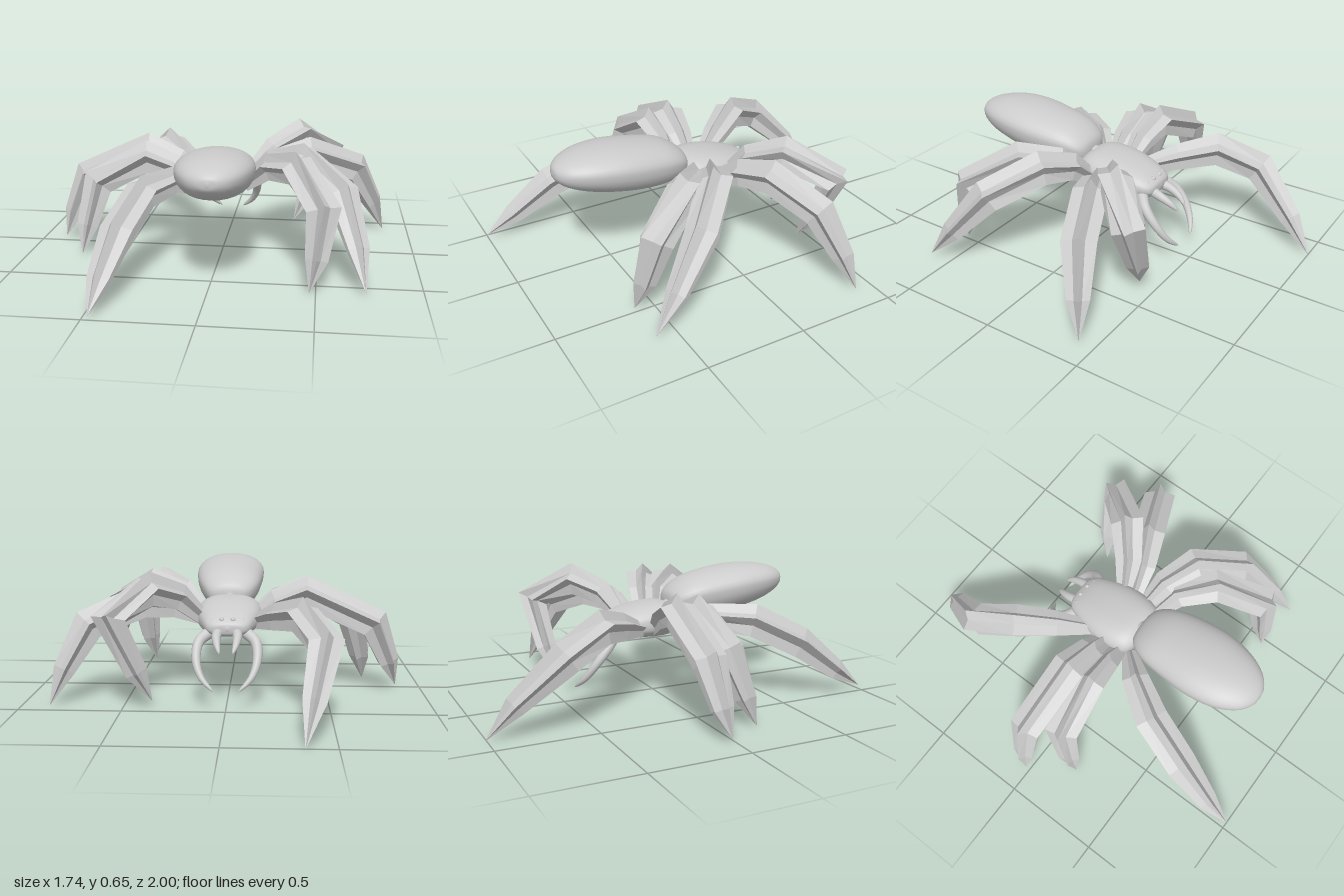
import * as THREE from 'three';

const smooth = new THREE.MeshStandardMaterial({ color: 0xcccccc });
const faceted = new THREE.MeshStandardMaterial({ color: 0xcccccc, flatShading: true, side: THREE.DoubleSide });

// Join closed rings of points into one surface
function skin(rings) {
  const n = rings[0].length;
  const pos = rings.flat().flatMap((p) => [p.x, p.y, p.z]);
  const index = [];
  for (let i = 0; i < rings.length - 1; i++) {
    for (let j = 0; j < n; j++) {
      const a = i * n + j, b = i * n + ((j + 1) % n);
      index.push(a, b, b + n, a, b + n, a + n);
    }
  }
  const geo = new THREE.BufferGeometry();
  geo.setAttribute('position', new THREE.Float32BufferAttribute(pos, 3));
  geo.setIndex(index);
  geo.computeVertexNormals();
  return geo;
}

// Rounded body along z from stations [z, x, top, bottom, halfWidth, height of widest line];
// an exponent below 1 makes the cross-section boxier
function bodyGeometry(stations, exponent, steps = 36, sides = 32) {
  const curve = (f) => new THREE.CatmullRomCurve3(stations.map(f), false, 'catmullrom', 0.5);
  const place = curve(([z, x, , , w]) => new THREE.Vector3(x, w, z));
  const heights = curve(([, , top, bottom, , mid]) => new THREE.Vector3(top, bottom, mid));
  const bend = (v) => Math.sign(v) * Math.abs(v) ** exponent;
  const rings = [];
  for (let i = 0; i <= steps; i++) {
    const p = place.getPoint(i / steps), h = heights.getPoint(i / steps);
    const ring = [];
    for (let j = 0; j < sides; j++) {
      const a = (j / sides) * Math.PI * 2, s = bend(Math.sin(a));
      const y = h.z + s * (s > 0 ? h.x - h.z : h.z - h.y);
      ring.push(new THREE.Vector3(p.x + bend(Math.cos(a)) * Math.max(p.y, 0.0005), y, p.z));
    }
    rings.push(ring);
  }
  return skin(rings);
}

// Sweep a round or star-shaped section along points [x, y, z, radius]
function limbGeometry(path, sides, inner = 1) {
  const pts = path.map(([x, y, z]) => new THREE.Vector3(x, y, z));
  const up = new THREE.Vector3(0, 1, 0);
  const last = pts.length - 1;
  return skin(pts.map((p, i) => {
    const before = p.clone().sub(pts[Math.max(i - 1, 0)]).normalize();
    const after = pts[Math.min(i + 1, last)].clone().sub(p).normalize();
    const t = before.add(after).normalize();
    up.addScaledVector(t, -up.dot(t)).normalize();
    const side = new THREE.Vector3().crossVectors(up, t);
    return Array.from({ length: sides }, (_, j) => {
      const a = (j / sides) * Math.PI * 2 + Math.PI / 2;
      const r = path[i][3] * (j % 2 ? inner : 1);
      return p.clone().addScaledVector(side, Math.cos(a) * r).addScaledVector(up, Math.sin(a) * r);
    });
  }));
}

// Smooth tapered hook through a few points
function hookGeometry(points, radius) {
  const curve = new THREE.CatmullRomCurve3(points.map((p) => new THREE.Vector3(...p)));
  const path = curve.getPoints(16).map((p, i) => [p.x, p.y, p.z, radius * Math.sqrt(1 - i / 16) + 0.0005]);
  return limbGeometry(path, 12);
}

export function createModel() {
  const group = new THREE.Group();
  const add = (name, geometry, material = smooth) => {
    const mesh = new THREE.Mesh(geometry, material);
    mesh.name = name;
    group.add(mesh);
    return mesh;
  };

  // Abdomen, raised toward its rear end
  add('abdomen', bodyGeometry([
    [0.08, 0.01, 0.47, 0.45, 0, 0.46],
    [0.10, 0.01, 0.53, 0.40, 0.10, 0.48],
    [0.19, 0.01, 0.59, 0.375, 0.155, 0.51],
    [0.33, 0.015, 0.625, 0.38, 0.18, 0.53],
    [0.48, 0.015, 0.643, 0.405, 0.188, 0.55],
    [0.62, 0.015, 0.64, 0.44, 0.165, 0.56],
    [0.72, 0.018, 0.618, 0.48, 0.115, 0.56],
    [0.77, 0.02, 0.59, 0.52, 0.055, 0.555],
    [0.782, 0.02, 0.56, 0.55, 0, 0.555],
  ], 0.95));

  // Head and thorax in one flattened shell
  add('thorax', bodyGeometry([
    [-0.32, 0, 0.37, 0.36, 0, 0.365],
    [-0.305, 0, 0.40, 0.33, 0.09, 0.365],
    [-0.23, 0, 0.44, 0.315, 0.132, 0.375],
    [-0.10, 0, 0.475, 0.31, 0.166, 0.385],
    [0.03, 0, 0.485, 0.31, 0.163, 0.39],
    [0.10, 0, 0.46, 0.34, 0.12, 0.40],
    [0.13, 0, 0.42, 0.40, 0, 0.41],
  ], 0.8));

  // Waist between thorax and abdomen
  add('waist', limbGeometry([[0, 0.41, 0.06, 0.06], [0.005, 0.44, 0.11, 0.05], [0.01, 0.47, 0.17, 0.06]], 12));

  // Mouthparts and eyes, mirrored
  for (const [s, side] of [[1, 'left'], [-1, 'right']]) {
    add(`${side}Pincer`, hookGeometry([
      [s * 0.09, 0.34, -0.26], [s * 0.14, 0.3, -0.31], [s * 0.148, 0.22, -0.38],
      [s * 0.118, 0.145, -0.43], [s * 0.06, 0.09, -0.465],
    ], 0.03));
    add(`${side}Fang`, hookGeometry([
      [s * 0.042, 0.35, -0.27], [s * 0.052, 0.335, -0.34], [s * 0.046, 0.305, -0.4], [s * 0.033, 0.27, -0.44],
    ], 0.028));
    for (const [x, y, z] of [[0.028, 0.408, -0.287], [0.072, 0.4, -0.275]]) {
      add(`${side}Eye`, new THREE.SphereGeometry(0.013, 12, 8)).position.set(s * x, y, z);
    }
  }

  // Eight ridged legs: joint centres from hip to tip, each in its own pose
  const legs = {
    rightLeg1: [[-0.13, 0.37, -0.13], [-0.24, 0.42, -0.28], [-0.36, 0.46, -0.44], [-0.46, 0.37, -0.65], [-0.40, 0.16, -0.87], [-0.36, 0, -1]],
    rightLeg2: [[-0.13, 0.36, -0.04], [-0.25, 0.45, -0.045], [-0.40, 0.51, -0.06], [-0.74, 0.355, -0.075], [-0.825, 0.15, -0.05], [-0.87, 0.02, -0.02]],
    rightLeg3: [[-0.13, 0.36, 0.05], [-0.25, 0.44, 0.05], [-0.39, 0.495, 0.055], [-0.65, 0.36, 0.08], [-0.7, 0.14, 0.15], [-0.72, 0, 0.2]],
    rightLeg4: [[-0.12, 0.36, 0.1], [-0.23, 0.42, 0.22], [-0.345, 0.405, 0.4], [-0.415, 0.28, 0.64], [-0.455, 0.12, 0.85], [-0.47, 0.02, 1]],
    leftLeg1: [[0.13, 0.38, -0.12], [0.25, 0.5, -0.18], [0.39, 0.56, -0.29], [0.55, 0.44, -0.48], [0.43, 0.18, -0.45], [0.36, 0.03, -0.42]],
    leftLeg2: [[0.13, 0.37, -0.06], [0.28, 0.45, -0.11], [0.44, 0.48, -0.19], [0.69, 0.38, -0.3], [0.8, 0.17, -0.37], [0.865, 0, -0.415]],
    leftLeg3: [[0.13, 0.37, 0.01], [0.26, 0.48, 0.05], [0.42, 0.52, 0.12], [0.61, 0.4, 0.3], [0.69, 0.18, 0.48], [0.73, 0.02, 0.61]],
    leftLeg4: [[0.13, 0.37, 0.08], [0.25, 0.48, 0.14], [0.39, 0.515, 0.27], [0.525, 0.37, 0.5], [0.5, 0.15, 0.55], [0.47, 0, 0.59]],
  };
  const radii = [0.04, 0.072, 0.09, 0.087, 0.057, 0.001];
  for (const [name, joints] of Object.entries(legs)) {
    add(name, limbGeometry(joints.map((p, i) => [...p, radii[i]]), 10, 0.57), faceted);
  }

  return group;
}
